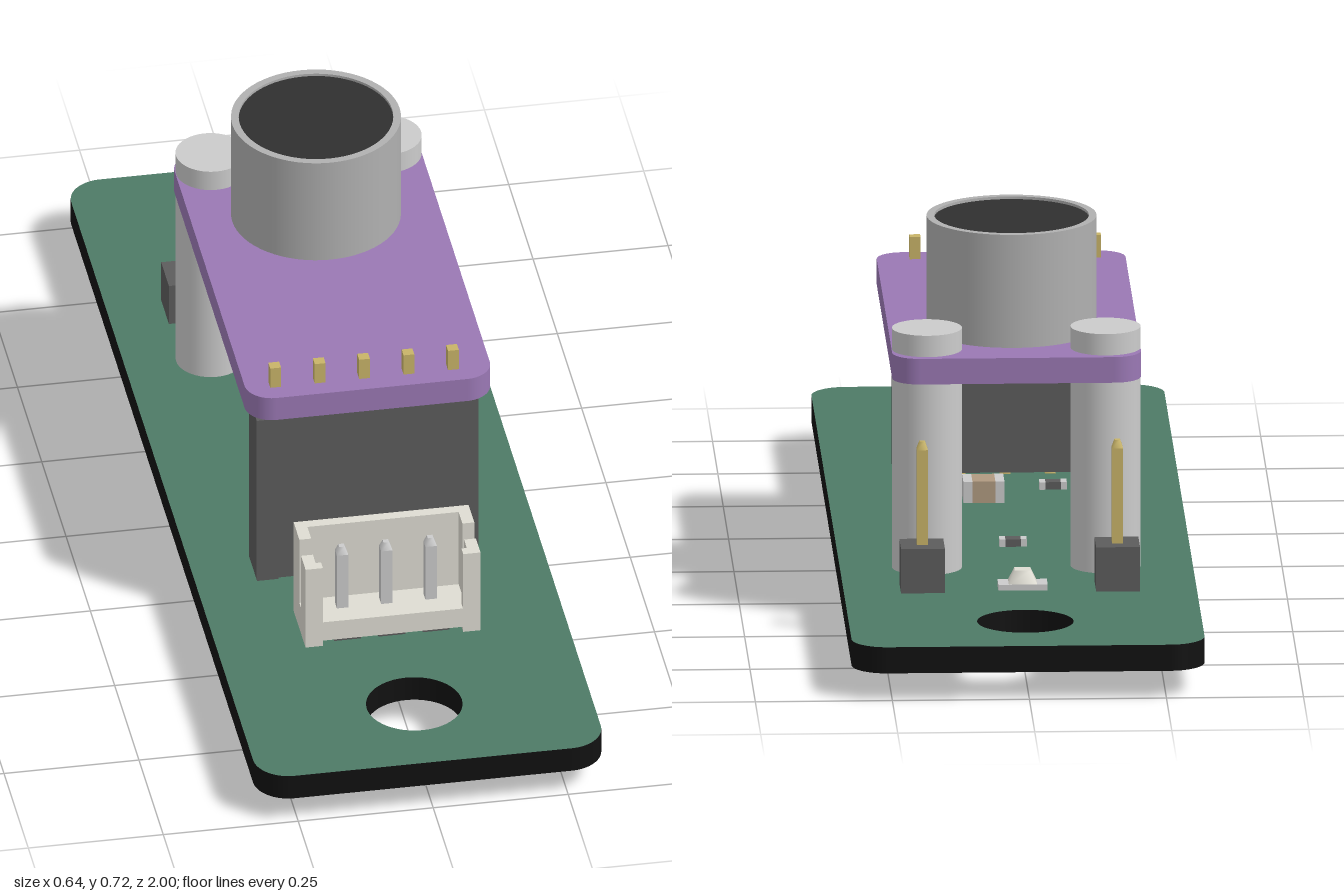
import * as THREE from 'three';

const mat = (color) => new THREE.MeshStandardMaterial({ color });
const M = {
  grey: mat(0xcccccc), steel: mat(0xb0b0b0), dark: mat(0x5c5c5c), felt: mat(0x303030),
  green: mat(0x4d7a66), black: mat(0x111111), purple: mat(0x9a78b4),
  gold: mat(0xc8b468), cream: mat(0xdedcd2), tan: mat(0xb09a80),
};

function add(parent, name, geometry, material, x = 0, y = 0, z = 0) {
  const mesh = new THREE.Mesh(geometry, material);
  mesh.name = name;
  mesh.position.set(x, y, z);
  parent.add(mesh);
  return mesh;
}

// Box given by its minimum and maximum corners
function box(parent, name, material, x0, x1, y0, y1, z0, z1) {
  return add(parent, name, new THREE.BoxGeometry(x1 - x0, y1 - y0, z1 - z0), material,
    (x0 + x1) / 2, (y0 + y1) / 2, (z0 + z1) / 2);
}

function cyl(parent, name, material, r, x, y0, y1, z, sides = 40) {
  return add(parent, name, new THREE.CylinderGeometry(r, r, y1 - y0, sides), material, x, (y0 + y1) / 2, z);
}

// Flat board with rounded corners and round holes [x, z, r]
function plate(parent, name, materials, x, z0, z1, y0, y1, r, holes) {
  const s = new THREE.Shape();
  const a = -z1, b = -z0;
  s.moveTo(-x + r, a);
  s.lineTo(x - r, a);
  s.absarc(x - r, a + r, r, -Math.PI / 2, 0);
  s.absarc(x - r, b - r, r, 0, Math.PI / 2);
  s.absarc(-x + r, b - r, r, Math.PI / 2, Math.PI);
  s.absarc(-x + r, a + r, r, Math.PI, Math.PI * 1.5);
  for (const [hx, hz, hr] of holes) {
    const p = new THREE.Path();
    p.absarc(hx, -hz, hr, 0, Math.PI * 2, true);
    s.holes.push(p);
  }
  const g = new THREE.ExtrudeGeometry(s, { depth: y1 - y0, bevelEnabled: false, curveSegments: 24 });
  g.rotateX(-Math.PI / 2);
  add(parent, name, g, materials, 0, y0, 0);
}

// Square pin with tapered ends
function pin(parent, name, material, x, y0, y1, z, w, d = w) {
  const t = 0.015;
  box(parent, name, material, x - w / 2, x + w / 2, y0 + t, y1 - t, z - d / 2, z + d / 2);
  for (const end of [-1, 1]) {
    const g = new THREE.CylinderGeometry(0.35, 0.7071, t, 4);
    g.rotateY(Math.PI / 4);
    if (end < 0) g.rotateX(Math.PI);
    g.scale(w, 1, d);
    add(parent, name + 'Tip', g, material, x, end < 0 ? y0 + t / 2 : y1 - t / 2, z);
  }
}

// Solder ring under the base board
function pad(parent, x, z) {
  cyl(parent, 'solderPad', M.gold, 0.028, x, 0.052, 0.056, z, 20);
}

// Small surface-mounted part with two metal ends
function chip(parent, material, x, z, w, d, h) {
  const y = 0.104, e = w * 0.22;
  box(parent, 'chipBody', material, x - w / 2 + e, x + w / 2 - e, y, y + h, z - d / 2, z + d / 2);
  for (const s of [-1, 1]) {
    const c = x + s * (w / 2 - e / 2);
    box(parent, 'chipEnd', M.grey, c - e / 2, c + e / 2, y, y + h, z - d / 2, z + d / 2);
  }
}

export function createModel() {
  const root = new THREE.Group();
  root.name = 'microphoneModule';
  const group = (name) => {
    const g = new THREE.Group();
    g.name = name;
    root.add(g);
    return g;
  };

  // Boards
  plate(root, 'baseBoard', [M.green, M.black], 0.322, -1, 1, 0.055, 0.104, 0.065,
    [[0, -0.81, 0.088], [0, 0.805, 0.088]]);
  plate(root, 'upperBoard', [M.purple, M.purple], 0.227, -0.45, 0.37, 0.462, 0.51, 0.05, []);

  // Microphone can: rim, shallow recess and dark cover
  const mic = group('microphone');
  const rim = [[0, 0.51], [0.155, 0.51], [0.155, 0.51], [0.155, 0.722], [0.155, 0.722],
    [0.141, 0.722], [0.141, 0.722], [0.141, 0.712]].map(([x, y]) => new THREE.Vector2(x, y));
  add(mic, 'can', new THREE.LatheGeometry(rim, 64), M.steel, 0.002, 0, -0.217);
  cyl(mic, 'cover', M.felt, 0.142, 0.002, 0.70, 0.717, -0.217, 64);

  // Support posts with caps and pegs
  for (const s of [-1, 1]) {
    const post = group('post');
    cyl(post, 'column', M.grey, 0.064, s * 0.163, 0.104, 0.462, -0.385);
    cyl(post, 'cap', M.grey, 0.064, s * 0.163, 0.513, 0.553, -0.385);
    cyl(post, 'peg', M.grey, 0.032, s * 0.163, 0.01, 0.515, -0.385);
  }

  // Tall socket with five pins
  const socket = group('socket');
  box(socket, 'socketBody', M.dark, -0.213, 0.198, 0.115, 0.462, 0.287, 0.367);
  for (let i = 0; i < 5; i++) {
    const x = -0.172 + i * 0.0823;
    box(socket, 'headerPin', M.gold, x - 0.01, x + 0.01, 0.45, 0.552, 0.315, 0.335);
    pin(socket, 'socketTail', M.gold, x, 0.005, 0.12, 0.325, 0.02, 0.008);
    pad(socket, x, 0.325);
  }
  for (const x of [-0.19, 0.175]) {
    box(socket, 'socketFoot', M.dark, x - 0.02, x + 0.02, 0.104, 0.116, 0.3, 0.355);
  }

  // Open-fronted cable connector
  const plug = group('connector');
  box(plug, 'floor', M.cream, -0.16, 0.16, 0.114, 0.14, 0.466, 0.585);
  box(plug, 'backWall', M.cream, -0.162, 0.162, 0.104, 0.298, 0.464, 0.484);
  box(plug, 'frontLip', M.cream, -0.13, 0.13, 0.114, 0.154, 0.56, 0.585);
  for (const s of [-1, 1]) {
    const side = (name, a, b, ...rest) =>
      box(plug, name, M.cream, Math.min(s * a, s * b), Math.max(s * a, s * b), ...rest);
    side('sideBase', 0.14, 0.162, 0.104, 0.16, 0.464, 0.587);
    side('rearSide', 0.14, 0.162, 0.15, 0.298, 0.464, 0.523);
    side('frontSide', 0.14, 0.162, 0.15, 0.274, 0.54, 0.587);
    side('frontCorner', 0.13, 0.162, 0.104, 0.274, 0.568, 0.587);
  }
  for (const x of [-0.082, 0, 0.082]) {
    pin(plug, 'contact', M.grey, x, 0.004, 0.27, 0.513, 0.021);
    box(plug, 'foot', M.dark, x - 0.025, x + 0.025, 0.104, 0.115, 0.48, 0.575);
    pad(plug, x, 0.513);
  }

  // Test pins
  for (const s of [-1, 1]) {
    const tp = group('testPin');
    const x = s * 0.178;
    box(tp, 'block', M.dark, x - 0.04, x + 0.04, 0.104, 0.187, -0.588, -0.508);
    pin(tp, 'pin', M.gold, x, 0.005, 0.38, -0.548, 0.02);
    pad(tp, x, -0.548);
  }

  // Indicator light
  const led = group('indicatorLight');
  box(led, 'ledBase', M.grey, -0.05, 0.04, 0.104, 0.115, -0.574, -0.53);
  const dome = new THREE.CylinderGeometry(0.4, 0.7071, 0.025, 4);
  dome.rotateY(Math.PI / 4);
  dome.scale(0.052, 1, 0.044);
  add(led, 'lens', dome, M.cream, -0.005, 0.127, -0.552);

  // Small parts on the base board
  const parts = group('baseParts');
  for (const [x, z] of [[0, -0.225], [0.13, -0.03], [-0.09, 0.21], [0.17, 0.2]]) {
    chip(parts, M.dark, x, z, 0.05, 0.026, 0.014);
  }
  chip(parts, M.tan, 0.04, 0.13, 0.075, 0.06, 0.04);
  chip(parts, M.tan, 0.14, 0.13, 0.05, 0.04, 0.026);
  chip(parts, M.tan, -0.145, 0.13, 0.05, 0.04, 0.022);

  // Parts hanging beneath the upper board: [x, z, width, depth, height]
  const under = group('upperParts');
  for (const [x, z, w, d, h] of [
    [-0.11, 0.2, 0.07, 0.04, 0.04], [0, 0.2, 0.07, 0.04, 0.04], [0.11, 0.2, 0.07, 0.04, 0.04],
    [-0.11, 0.13, 0.07, 0.04, 0.04], [0, 0.13, 0.07, 0.04, 0.04], [0.11, 0.13, 0.07, 0.04, 0.04],
    [0, -0.015, 0.11, 0.1, 0.026], [0.13, 0.02, 0.07, 0.035, 0.035],
    [-0.06, -0.165, 0.06, 0.085, 0.04], [0.06, -0.165, 0.06, 0.085, 0.04],
  ]) {
    box(under, 'component', M.dark, x - w / 2, x + w / 2, 0.462 - h, 0.463, z - d / 2, z + d / 2);
  }
  return root;
}
